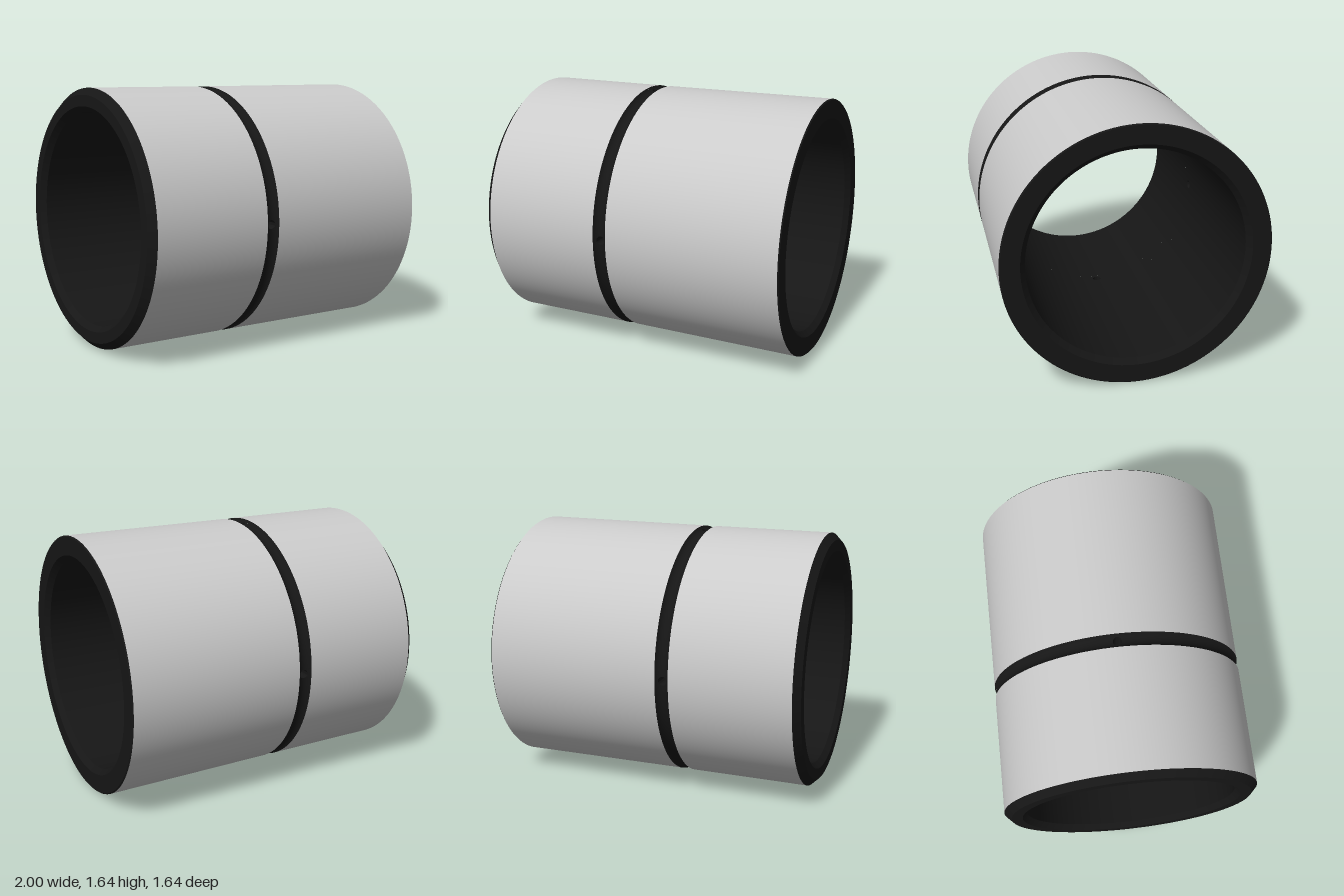
import * as THREE from 'three';
import { toCreasedNormals } from 'three/addons/utils/BufferGeometryUtils.js';

const SEG = 128;
const BORE = 0.667, CENTRE_Y = 0.822;
const GROOVE_X = -0.158, HALF = 0.0425, HOLE = 0.027;
const PATCH = HALF / 0.79; // half angle of the square around each oil hole
const ARC = 0.0486;

// Radius of the round-bottomed groove at x
const grooveRadius = (x) => 0.79 + ARC - Math.sqrt(ARC * ARC - (x - GROOVE_X) ** 2);

// Surface of revolution about x; profile points are [x, radius]
function revolve(profile, start = 0, length = Math.PI * 2, seg = SEG) {
  const pts = profile.map(([x, r]) => new THREE.Vector2(r, x));
  return new THREE.LatheGeometry(pts, seg, start, length).rotateZ(-Math.PI / 2);
}

// Groove floor around a hole, the hole's wall, and the bore around it, as one strip of loops
function holeGeometry() {
  const n = 48, rows = 6, pos = [], index = [];
  const loop = (radiusAt, k) => {
    for (let j = 0; j < n; j++) {
      const t = (j / n) * Math.PI * 2, c = Math.cos(t), s = Math.sin(t);
      const m = Math.max(Math.abs(c), Math.abs(s));
      const x = GROOVE_X + THREE.MathUtils.lerp((c / m) * HALF, c * HOLE, k);
      const r = radiusAt(x);
      const a = THREE.MathUtils.lerp((s / m) * PATCH, Math.asin((s * HOLE) / r), k);
      pos.push(x, r * Math.sin(a), r * Math.cos(a));
    }
  };
  for (let i = 0; i <= rows; i++) loop(grooveRadius, i / rows);
  for (let i = 0; i <= rows; i++) loop(() => BORE, 1 - i / rows);
  for (let i = 0; i < 2 * rows + 1; i++) {
    for (let j = 0; j < n; j++) {
      const a = i * n + j, b = i * n + ((j + 1) % n);
      index.push(a, b, b + n, a, b + n, a + n);
    }
  }
  const g = new THREE.BufferGeometry();
  g.setAttribute('position', new THREE.Float32BufferAttribute(pos, 3));
  g.setIndex(index);
  return toCreasedNormals(g, 0.7);
}

export function createModel() {
  const group = new THREE.Group();
  const grey = new THREE.MeshStandardMaterial({ color: 0xcccccc });
  const dark = new THREE.MeshStandardMaterial({ color: 0x161616 });
  const add = (name, geometry, material = dark) => {
    const mesh = new THREE.Mesh(geometry, material);
    mesh.name = name;
    mesh.position.y = CENTRE_Y;
    group.add(mesh);
    return mesh;
  };
  const x0 = GROOVE_X - HALF, x1 = GROOVE_X + HALF;

  // Slightly tapered outer surface, either side of the groove
  add('shortSleeve', revolve([[-0.957, 0.813], [x0, 0.815]]), grey);
  add('longSleeve', revolve([[x1, 0.815], [0.993, 0.822]]), grey);

  // Chamfers, end faces and bore
  add('outerChamferShortEnd', revolve([[-1, 0.77], [-0.957, 0.813]]));
  add('outerChamferLongEnd', revolve([[0.993, 0.822], [1, 0.815]]));
  add('endFaceLong', revolve([[1, 0.815], [1, 0.7]]));
  add('endFaceShort', revolve([[-1, 0.7], [-1, 0.77]]));
  add('innerChamferLongEnd', revolve([[1, 0.7], [0.965, BORE]]));
  add('innerChamferShortEnd', revolve([[-0.965, BORE], [-1, 0.7]]));
  add('boreLong', revolve([[0.965, BORE], [x1, BORE]]));
  add('boreShort', revolve([[x0, BORE], [-0.965, BORE]]));

  // Groove and the bore band beneath it, in quarters between four oil holes
  const arc = [];
  for (let i = 0; i <= 16; i++) {
    const x = x0 + (2 * HALF * i) / 16;
    arc.push([x, grooveRadius(x)]);
  }
  const hole = holeGeometry();
  for (let q = 0; q < 4; q++) {
    const start = (q * Math.PI) / 2 + PATCH, length = Math.PI / 2 - 2 * PATCH;
    add('groove', revolve(arc, start, length, SEG / 4));
    add('boreBand', revolve([[x1, BORE], [x0, BORE]], start, length, SEG / 4));
    add('oilHole', hole).rotation.x = (q * Math.PI) / 2;
  }
  return group;
}
